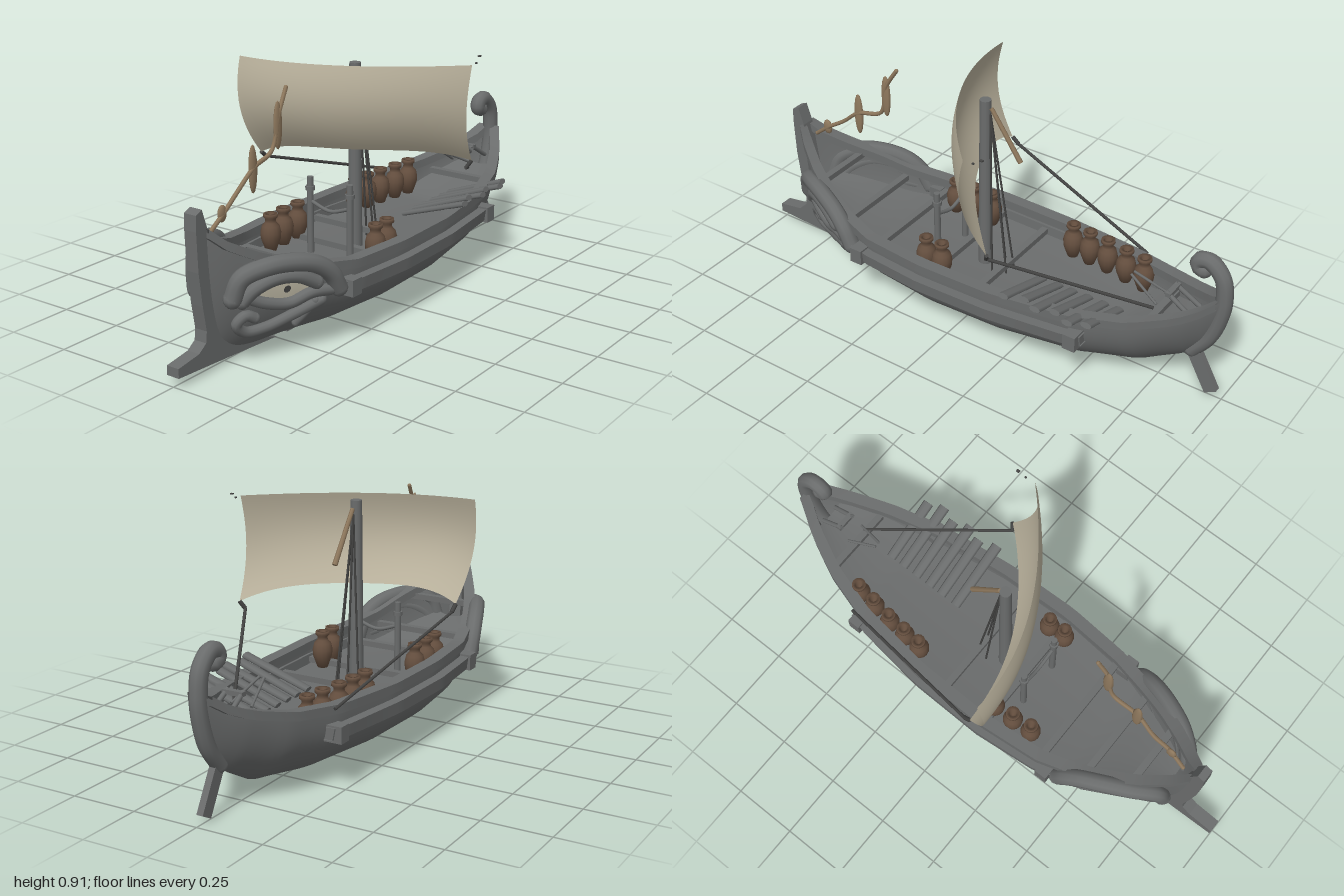
import * as THREE from 'three';
import { toCreasedNormals } from 'three/addons/utils/BufferGeometryUtils.js';

const mat = (name, color) => {
  const m = new THREE.MeshStandardMaterial({ color, side: THREE.DoubleSide });
  m.name = name;
  return m;
};
const V = (x, y, z) => new THREE.Vector3(x, y, z);

// Hull stations: z, half width, keel height, gunwale height, fullness
const STATIONS = [
  [-0.97, 0.025, 0.33, 0.43, 1.4], [-0.92, 0.055, 0.22, 0.39, 1.6], [-0.85, 0.1, 0.14, 0.355, 1.9],
  [-0.7, 0.17, 0.055, 0.315, 2.6], [-0.5, 0.228, 0.02, 0.295, 3.2], [-0.2, 0.265, 0.005, 0.285, 3.6],
  [0.1, 0.272, 0, 0.285, 3.6], [0.35, 0.25, 0.003, 0.287, 3.2], [0.5, 0.21, 0.01, 0.31, 2.6],
  [0.6, 0.172, 0.012, 0.35, 2.2], [0.7, 0.125, 0.018, 0.385, 1.8], [0.8, 0.062, 0.03, 0.44, 1.4],
  [0.85, 0.022, 0.06, 0.49, 1.2],
];
function station(z) {
  let i = 0;
  while (i < STATIONS.length - 2 && z > STATIONS[i + 1][0]) i++;
  const a = STATIONS[i], b = STATIONS[i + 1];
  const k = THREE.MathUtils.clamp((z - a[0]) / (b[0] - a[0]), 0, 1);
  return a.map((n, j) => n + (b[j] - n) * k);
}
function hullX(z, y) {
  const [, w, keel, gun, full] = station(z);
  const t = THREE.MathUtils.clamp((y - keel) / (gun - keel), 0, 1);
  return w * Math.pow(1 - Math.pow(1 - t, full), 0.77);
}

// Surface through points f(u, v), u and v from 0 to 1
function grid(nu, nv, f) {
  const pos = [], idx = [];
  for (let i = 0; i <= nu; i++) for (let j = 0; j <= nv; j++) pos.push(...f(i / nu, j / nv));
  for (let i = 0; i < nu; i++) for (let j = 0; j < nv; j++) {
    const a = i * (nv + 1) + j, b = a + nv + 1;
    idx.push(a, a + 1, b, b, a + 1, b + 1);
  }
  const g = new THREE.BufferGeometry();
  g.setAttribute('position', new THREE.Float32BufferAttribute(pos, 3));
  g.setIndex(idx);
  g.computeVertexNormals();
  return g;
}

export function createModel() {
  const model = new THREE.Group();
  const timber = mat('grey timber', 0x6a6c6c);
  const canvas = mat('sail canvas', 0xb8b09b);
  const clay = mat('brown clay', 0x654f3f);
  const bark = mat('tan garland', 0x8e785d);
  const rope = mat('dark rope', 0x444443);
  const pale = mat('pale eye', 0xc4beaa);

  const add = (name, geo, m, p = [0, 0, 0]) => {
    const mesh = new THREE.Mesh(geo, m);
    mesh.name = name;
    mesh.position.set(...p);
    model.add(mesh);
    return mesh;
  };
  const box = (name, w, h, d, x, y, z, m = timber) => add(name, new THREE.BoxGeometry(w, h, d), m, [x, y, z]);
  const tube = (name, pts, r, m, sides = 8) => {
    add(name, new THREE.TubeGeometry(new THREE.CatmullRomCurve3(pts), pts.length * 6, r, sides), m);
    for (const p of [pts[0], pts[pts.length - 1]]) add(name + 'End', new THREE.SphereGeometry(r, sides, 6), m, p.toArray());
  };
  const rod = (name, a, b, r0, r1, m, sides = 8) => {
    const d = b.clone().sub(a);
    const mesh = add(name, new THREE.CylinderGeometry(r1, r0, d.length(), sides), m, a.clone().add(b).multiplyScalar(0.5).toArray());
    mesh.quaternion.setFromUnitVectors(V(0, 1, 0), d.normalize());
    return mesh;
  };

  // Hull shell and slightly hollow deck
  add('hull', grid(64, 32, (u, v) => {
    const z = -0.97 + 1.82 * u, s = v * 2 - 1, [, , keel, gun] = station(z);
    const y = keel + (gun - keel) * Math.pow(Math.abs(s), 1.7);
    return [Math.sign(s) * hullX(z, y), y, z];
  }), timber);
  add('deck', grid(40, 8, (u, v) => {
    const z = -0.88 + 1.66 * u, a = v * 2 - 1;
    const y = 0.2 + Math.max(0, -z - 0.6) * 0.35 + Math.max(0, z - 0.5) * 0.25;
    return [a * hullX(z, y) * 0.98, y - 0.015 * (1 - a * a), z];
  }), timber);
  for (const [z, y] of [[-0.73, 0.27], [-0.1, 0.215], [0.1, 0.215], [0.35, 0.23], [0.52, 0.26], [0.68, 0.35]])
    box('thwart', hullX(z - 0.015, y) * 2 - 0.02, 0.022, 0.026, 0, y, z);

  // Beams of rectangular section that follow the hull side
  const beam = (name, z0, z1, s, corners) => add(name, toCreasedNormals(grid(40, 4, (u, v) => {
    const z = z0 + (z1 - z0) * u, [dx, y] = corners(z)[Math.round(v * 4) % 4];
    return [s * Math.max(0.004, hullX(z, y) + dx), y, z];
  }), 0.6), timber);
  for (const s of [-1, 1]) {
    beam('gunwaleRail', -0.96, 0.85, s, z => {
      const g = station(z)[3];
      return [[-0.03, g - 0.022], [0.017, g - 0.022], [0.017, g + 0.01], [-0.03, g + 0.01]];
    });
    beam('sideWale', -0.56, 0.42, s, () => [[-0.01, 0.19], [0.036, 0.19], [0.036, 0.235], [-0.01, 0.235]]);
    for (const z of [-0.53, 0.39]) box('waleBlock', 0.075, 0.06, 0.05, s * (hullX(z, 0.21) + 0.016), 0.212, z);
  }

  // Stem post with ram, cut as one side profile
  const stem = new THREE.Shape([
    [0.5, 0.004], [0.8, 0.024], [0.9, 0.03], [1, 0.036], [1, 0.07], [0.9, 0.085], [0.865, 0.11], [0.86, 0.15],
    [0.875, 0.24], [0.89, 0.36], [0.895, 0.5], [0.893, 0.555], [0.865, 0.568], [0.842, 0.5], [0.815, 0.3], [0.78, 0.1],
  ].map(([z, y]) => new THREE.Vector2(z, y)));
  const stemGeo = new THREE.ExtrudeGeometry(stem, { depth: 0.05, bevelEnabled: false });
  stemGeo.rotateY(-Math.PI / 2);
  add('stemPost', stemGeo, timber, [0.025, 0, 0]);
  box('keel', 0.045, 0.014, 0.6, 0, 0.007, 0.14);

  // Curled stern post, rudder and stern frame
  tube('sternCurl', [[-0.87, 0.17], [-0.93, 0.25], [-0.962, 0.35], [-0.97, 0.43], [-0.955, 0.51], [-0.905, 0.557],
    [-0.869, 0.548], [-0.864, 0.525], [-0.885, 0.515]].map(([z, y]) => V(0, y, z)), 0.03, timber, 10);
  const rudder = box('rudder', 0.025, 0.19, 0.05, 0, 0.105, -0.915);
  rudder.rotation.x = 0.5;
  for (const s of [-1, 1]) {
    rod('tillerPole', V(s * 0.035, 0.33, -0.87), V(s * 0.03, 0.39, -0.77), 0.009, 0.009, timber);
    rod('sternPole', V(s * 0.04, 0.33, -0.74), V(s * 0.01, 0.39, -0.62), 0.005, 0.005, timber);
  }
  box('tillerBar', 0.08, 0.016, 0.02, 0, 0.385, -0.78);

  // Carved bow face: heavy brow, lids, curl and deep-set eye on each side
  for (const s of [-1, 1]) {
    const on = (z, y, off) => V(s * (hullX(z, y) + off), y, z);
    const carve = (name, pts, r, off) => tube(name, pts.map(([z, y]) => on(z, y, off)), r, timber, 10);
    carve('brow', [[0.79, 0.25], [0.77, 0.32], [0.7, 0.352], [0.61, 0.35], [0.53, 0.325], [0.475, 0.28], [0.44, 0.22]], 0.032, 0.026);
    carve('innerBrow', [[0.76, 0.235], [0.73, 0.275], [0.67, 0.305], [0.6, 0.3], [0.53, 0.262]], 0.025, 0.026);
    carve('lowerLid', [[0.75, 0.25], [0.69, 0.218], [0.61, 0.2], [0.54, 0.225], [0.47, 0.22]], 0.021, 0.022);
    carve('bowCurl', [[0.5, 0.19], [0.58, 0.15], [0.66, 0.115], [0.73, 0.115], [0.765, 0.15], [0.74, 0.18], [0.71, 0.165]], 0.019, 0.024);
    carve('cheekTusk', [[0.52, 0.19], [0.54, 0.14], [0.55, 0.105]], 0.015, 0.024);
    const patch = (name, zc, yc, rz, ry, p, off, m) => add(name, grid(16, 4, (u, v) => {
      const a = u * 2 - 1, h = ry * Math.pow(1 - a * a, p);
      return on(zc + rz * a, yc + h * (v * 2 - 1), off).toArray();
    }), m);
    patch('eyeWhite', 0.62, 0.25, 0.085, 0.042, 0.8, 0.014, pale);
    patch('pupil', 0.62, 0.253, 0.011, 0.013, 0.5, 0.017, rope);
  }

  // Mast, belaying posts and mast ropes
  rod('mast', V(0, 0.185, 0), V(0, 0.878, 0), 0.027, 0.021, timber, 12);
  for (const s of [-1, 1]) {
    rod('post', V(s * 0.088, 0.185, 0.155), V(s * 0.088, 0.475, 0.155), 0.013, 0.012, timber);
    rod('postCollar', V(s * 0.088, 0.425, 0.155), V(s * 0.088, 0.44, 0.155), 0.018, 0.018, timber);
    for (const [x, z] of [[0.045, -0.06], [0.025, -0.11]]) rod('mastRope', V(0, 0.83, -0.02), V(s * x, 0.185, z), 0.004, 0.004, rope, 5);
  }
  tube('postBar', [V(-0.088, 0.385, 0.155), V(0, 0.36, 0.155), V(0.088, 0.385, 0.155)], 0.007, timber);

  // Billowing sail
  const sailPoint = (u, v) => {
    const a = u * 2 - 1, v2 = v * v;
    const y = 0.885 - v * (0.322 + 0.05 * a ** 4);
    const z = 0.005 - 0.178 * a + 0.1 * (1 - a * a) + 0.045 * Math.sin(v * 2.4) - 0.1 * v2;
    return [a * (0.38 - 0.034 * v2), y, z];
  };
  add('sail', grid(32, 16, sailPoint), canvas);

  // Sheets from the lower sail corners, and the small yard tip
  const left = V(-0.345, 0.49, 0.085), right = V(0.33, 0.485, -0.23);
  rod('sheet', left, V(-0.24, 0.3, -0.55), 0.006, 0.006, rope, 6);
  rod('sheet', right, V(0.04, 0.31, -0.73), 0.006, 0.006, rope, 6);
  rod('cornerLink', V(...sailPoint(0, 1)), left, 0.008, 0.008, rope, 6);
  rod('cornerLink', V(...sailPoint(1, 1)), right, 0.008, 0.008, rope, 6);
  box('yardTip', 0.01, 0.004, 0.012, 0.37, 0.904, -0.24, rope);
  box('yardTip', 0.006, 0.005, 0.008, 0.375, 0.885, -0.21, rope);

  // Clay jars
  const jar = new THREE.LatheGeometry([[0, 0], [0.02, 0], [0.036, 0.045], [0.038, 0.07], [0.032, 0.095], [0.02, 0.107],
    [0.019, 0.12], [0.027, 0.128], [0.026, 0.14], [0.014, 0.139], [0.012, 0.11], [0, 0.108]].map(p => new THREE.Vector2(...p)), 14);
  for (const [x, z] of [[-0.155, -0.585], [-0.165, -0.505], [-0.178, -0.42], [-0.185, -0.34], [-0.19, -0.265],
    [-0.19, 0.1], [-0.19, 0.185], [-0.185, 0.265], [0.185, 0.065], [0.185, 0.135]]) add('jar', jar, clay, [x, 0.206, z]);

  // Flat-bladed oars stowed over one rail
  [-0.6, -0.54, -0.475, -0.41, -0.35, -0.28].forEach((z, i) => {
    const out = i % 2 ? 0.3 : 0.275;
    rod('oar', V(0.035, 0.24, z + 0.005), V(out, 0.328, z), 0.02, 0.022, timber).scale.x = 0.5;
  });

  // Hanging garlands at the bow and on the mast
  tube('bowGarland', [[0.8, 0.465], [0.73, 0.52], [0.66, 0.565], [0.58, 0.63], [0.475, 0.665], [0.44, 0.79], [0.395, 0.865]]
    .map(([z, y], i) => V(i % 2 ? 0.003 : -0.003, y, z)), 0.008, bark, 6);
  for (const [z, y, h] of [[0.74, 0.515, 0.06], [0.58, 0.625, 0.17], [0.445, 0.745, 0.17]]) {
    const tuft = add('garlandTuft', new THREE.SphereGeometry(0.5, 8, 8), bark, [0, y, z]);
    tuft.scale.set(0.02, h, 0.042);
  }
  rod('mastGarland', V(0, 0.85, -0.025), V(0, 0.67, -0.15), 0.008, 0.01, bark, 6);
  return model;
}
